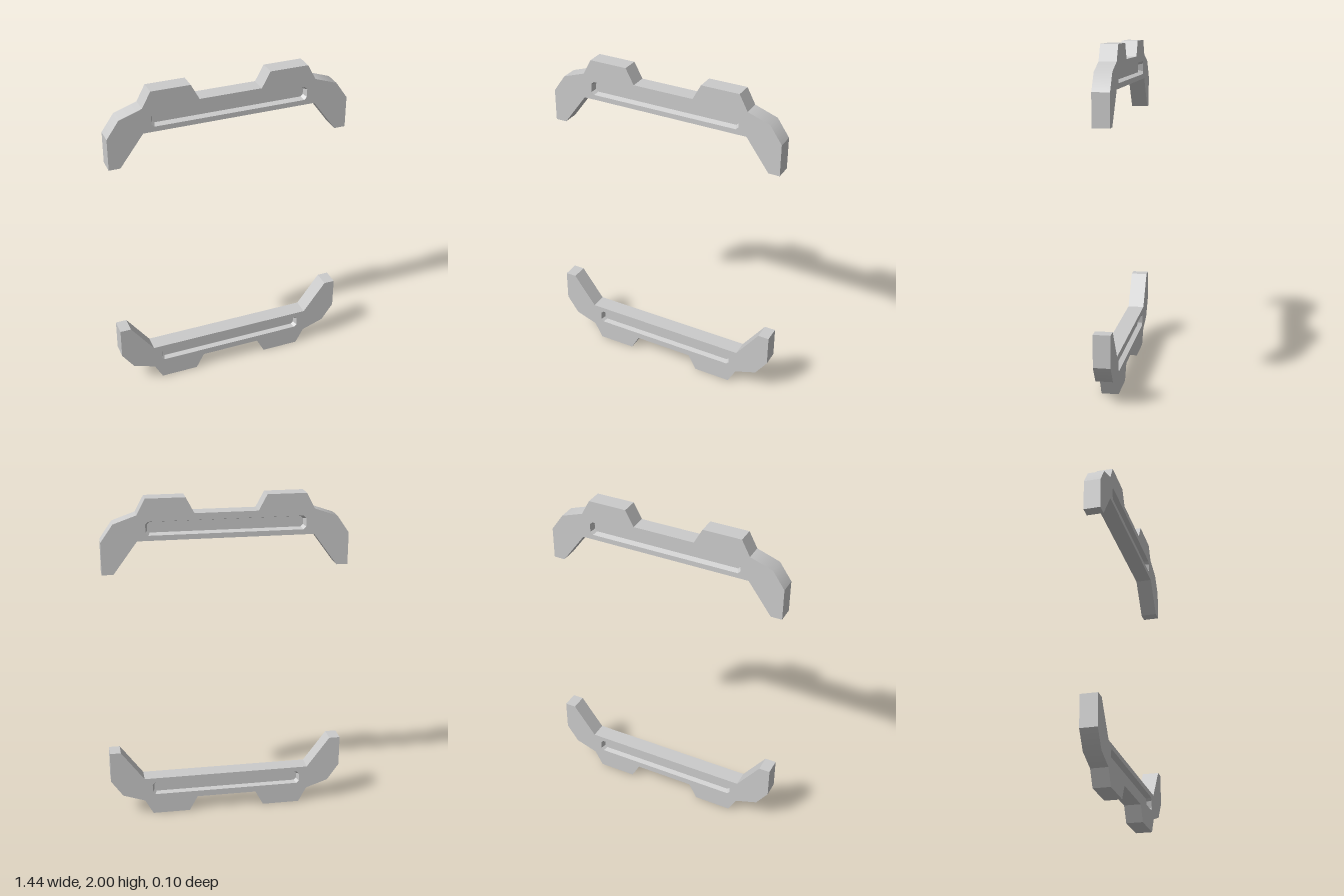
import * as THREE from 'three';
import { mergeGeometries } from 'three/addons/utils/BufferGeometryUtils.js';

const HALF = 0.05;   // half thickness
const FLOOR = 0.02;  // groove floor height from the mid plane
const v = (x, y) => new THREE.Vector2(x, y);

// Wall between two counter-clockwise rings, facing outward when zA < zB
function loft(ringA, zA, ringB, zB) {
  const pos = [];
  ringA.forEach((a, i) => {
    const j = (i + 1) % ringA.length;
    const b = ringA[j], c = ringB[j], d = ringB[i];
    pos.push(a.x, a.y, zA, b.x, b.y, zA, c.x, c.y, zB);
    pos.push(a.x, a.y, zA, c.x, c.y, zB, d.x, d.y, zB);
  });
  const g = new THREE.BufferGeometry();
  g.setAttribute('position', new THREE.Float32BufferAttribute(pos, 3));
  g.computeVertexNormals();
  return g;
}

// Flat face at height z
function face(shape, z) {
  const g = new THREE.ShapeGeometry(shape).toNonIndexed();
  g.deleteAttribute('uv');
  return g.translate(0, 0, z);
}

// Rectangle with chamfered corners, counter-clockwise
function slot(x, y0, y1, c) {
  return [v(x - c, y0), v(x, y0 + c), v(x, y1 - c), v(x - c, y1),
    v(c - x, y1), v(-x, y1 - c), v(-x, y0 + c), v(c - x, y0)];
}

function bracketGeometry() {
  // Right half of the outline, mirrored to the left
  const half = [v(0.515, 0.757), v(0.655, 0.567), v(0.722, 0.567), v(0.722, 0.757),
    v(0.65, 0.86), v(0.515, 0.907), v(0.465, 1), v(0.235, 1), v(0.185, 0.907)];
  const outline = [...half, ...half.map(p => v(-p.x, p.y)).reverse()];
  const rim = slot(0.466, 0.787, 0.868, 0.016);
  const bed = slot(0.453, 0.798, 0.86, 0.014);

  // One side: plate with a tapered blind groove
  const plate = new THREE.Shape(outline);
  plate.holes.push(new THREE.Path(rim));
  const side = mergeGeometries([
    face(plate, HALF),
    loft(rim, HALF, bed, FLOOR),
    face(new THREE.Shape(bed), FLOOR),
  ]);

  // Outer wall, softened at the shoulder corners
  const wall = loft(outline, -HALF, outline, HALF);
  const p = wall.attributes.position, n = wall.attributes.normal;
  const soft = v(0.135, 0).set(0.047, 0.135).normalize().add(v(0.103, 0.072).normalize()).normalize();
  for (let i = 0; i < p.count; i++) {
    if (Math.abs(Math.abs(p.getX(i)) - 0.65) < 1e-4) {
      n.setXYZ(i, Math.sign(p.getX(i)) * soft.x, soft.y, 0);
    }
  }
  return mergeGeometries([side, side.clone().rotateY(Math.PI), wall]);
}

export function createModel() {
  const model = new THREE.Group();
  model.name = 'bracketPair';
  const material = new THREE.MeshStandardMaterial({ color: 0xcccccc });
  const geometry = bracketGeometry();

  // Two facing brackets, the lower one turned upside down
  ['upperBracket', 'lowerBracket'].forEach((name, i) => {
    const bracket = new THREE.Mesh(geometry, material);
    bracket.name = name;
    bracket.position.y = 1;
    bracket.rotation.z = i * Math.PI;
    model.add(bracket);
  });
  return model;
}
